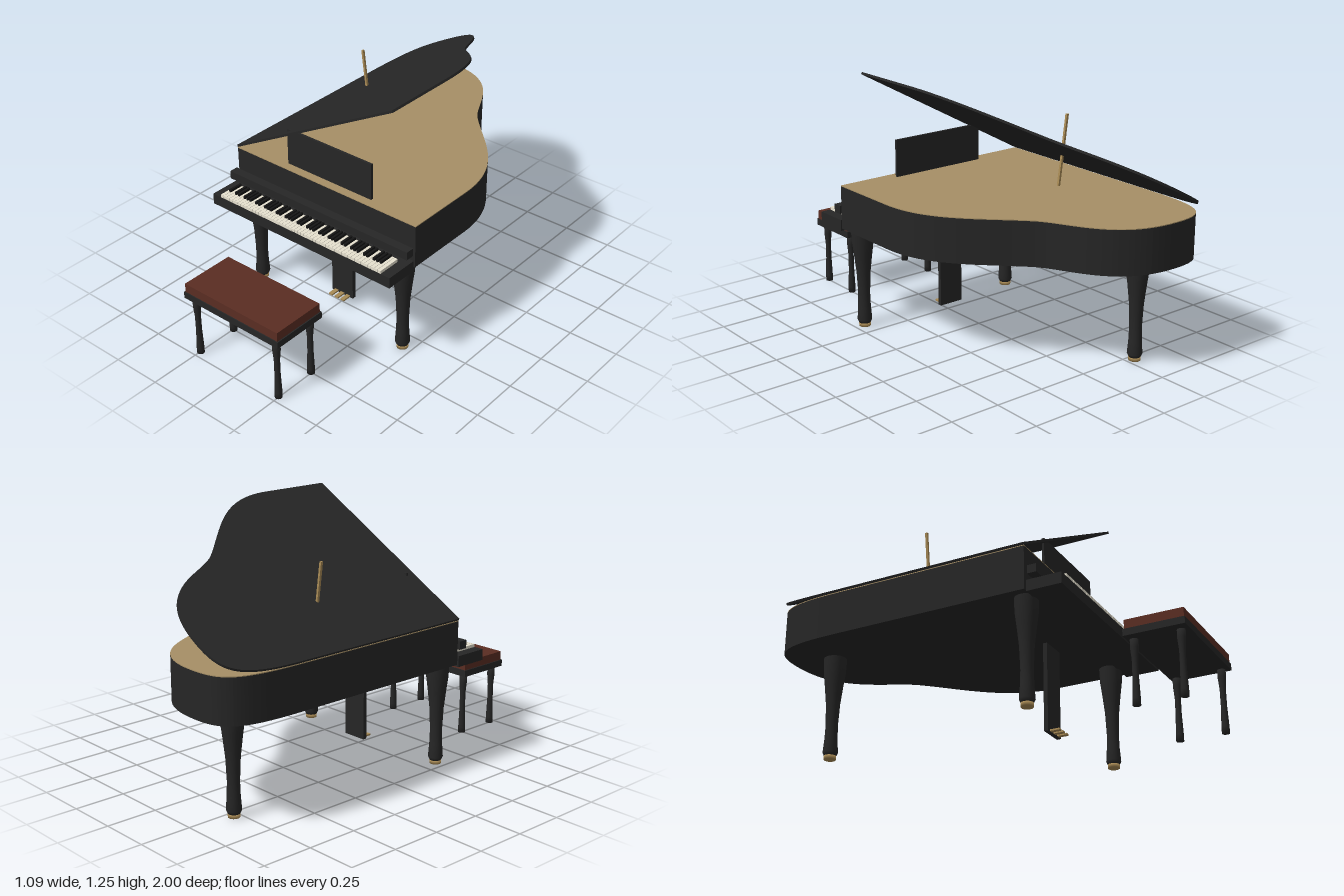
import * as THREE from 'three';

const material = (name, color, side = THREE.FrontSide) => {
  const m = new THREE.MeshStandardMaterial({ color, side });
  m.name = name;
  return m;
};

export function createModel() {
  const root = new THREE.Group();
  root.name = 'grandPianoWithBench';
  const black = material('black lacquer', 0x262626);
  const ebony = material('ebony keys', 0x151515);
  const ivory = material('ivory keys', 0xeee8d6);
  const wood = material('soundboard wood', 0xa68f66);
  const brass = material('brass', 0xa88a55);
  const leather = material('seat leather', 0x5a2d22);

  const add = (name, geometry, mat, parent = root) => {
    const mesh = new THREE.Mesh(geometry, mat);
    mesh.name = name;
    parent.add(mesh);
    return mesh;
  };
  // Box given by its min and max on each axis
  const box = (name, [x0, x1], [y0, y1], [z0, z1], mat, parent = root) => {
    const mesh = add(name, new THREE.BoxGeometry(x1 - x0, y1 - y0, z1 - z0), mat, parent);
    mesh.position.set((x0 + x1) / 2, (y0 + y1) / 2, (z0 + z1) / 2);
    return mesh;
  };
  const turned = (points, sides) =>
    new THREE.LatheGeometry(points.map(([r, y]) => new THREE.Vector2(r, y)), sides);

  // Curved plan outline, drawn with shape y = -z
  const outline = new THREE.Shape();
  outline.moveTo(-0.54, -0.37);
  outline.lineTo(0.54, -0.37);
  outline.lineTo(0.54, 0);
  outline.bezierCurveTo(0.54, 0.3, 0.32, 0.43, 0.17, 0.6);
  outline.bezierCurveTo(0.07, 0.72, 0.05, 1, -0.3, 1);
  outline.bezierCurveTo(-0.48, 1, -0.54, 0.95, -0.54, 0.62);
  outline.closePath();
  const slab = (depth) => {
    const g = new THREE.ExtrudeGeometry(outline, { depth, bevelEnabled: false, curveSegments: 28 });
    return g.rotateX(-Math.PI / 2);
  };

  // Case and soundboard
  add('case', slab(0.212), black).position.y = 0.51;
  add('soundboard', slab(0.004), wood).position.y = 0.722;

  // Raised lid, hinged along the straight right-hand side
  const lid = new THREE.Group();
  lid.name = 'lid';
  lid.position.set(-0.54, 0.727, 0);
  lid.rotation.z = THREE.MathUtils.degToRad(28.6);
  add('lidPanel', slab(0.011), black, lid).position.x = 0.54;
  root.add(lid);

  // Prop stick
  const prop = add('propStick', new THREE.BoxGeometry(0.011, 0.35, 0.012), brass);
  prop.position.set(-0.28, 0.896, -0.28);
  prop.rotation.z = 0.135;

  // Music desk, key bed and fallboard
  box('musicDesk', [-0.252, 0.252], [0.722, 0.91], [0.315, 0.327], black);
  box('keyBed', [-0.54, 0.54], [0.496, 0.55], [0.38, 0.55], black);
  box('fallboard', [-0.54, 0.54], [0.58, 0.62], [0.385, 0.43], black);

  // Keyboard: 52 white keys starting on A, black keys over the proper gaps
  const keyboard = new THREE.Group();
  keyboard.name = 'keyboard';
  root.add(keyboard);
  const pitch = 0.98 / 52;
  for (let i = 0; i < 52; i++) {
    const x = -0.49 + i * pitch;
    box('whiteKey', [x + 0.0008, x + pitch - 0.0008], [0.55, 0.565], [0.43, 0.549], ivory, keyboard);
    if (i < 51 && [0, 1, 3, 4, 5].includes((i + 5) % 7)) {
      const edge = x + pitch;
      box('blackKey', [edge - 0.0055, edge + 0.0055], [0.563, 0.578], [0.432, 0.505], ebony, keyboard);
    }
  }

  // Three turned legs on brass feet
  const legGeometry = turned([[0, 0.018], [0.028, 0.018], [0.036, 0.035], [0.031, 0.1], [0.029, 0.17],
    [0.034, 0.28], [0.044, 0.37], [0.053, 0.44], [0.056, 0.512]], 24);
  const footGeometry = turned([[0, 0], [0.028, 0], [0.029, 0.018], [0, 0.02]], 24);
  for (const [x, z] of [[-0.448, 0.335], [0.448, 0.335], [-0.29, -0.785]]) {
    const leg = new THREE.Group();
    leg.name = 'leg';
    leg.position.set(x, 0, z);
    add('legPost', legGeometry, black, leg);
    add('legFoot', footGeometry, brass, leg);
    root.add(leg);
  }

  // Pedal board and pedals
  box('pedalBoard', [-0.065, 0.065], [0.04, 0.472], [0.222, 0.242], black);
  for (const x of [-0.037, 0, 0.037])
    box('pedal', [x - 0.011, x + 0.011], [0.042, 0.05], [0.235, 0.29], brass);

  // Bench
  const bench = new THREE.Group();
  bench.name = 'bench';
  root.add(bench);
  box('benchSeat', [-0.283, 0.283], [0.345, 0.39], [0.72, 0.995], leather, bench);
  box('benchFrame', [-0.289, 0.289], [0.312, 0.345], [0.714, 1], black, bench);
  const benchLeg = turned([[0, 0], [0.018, 0], [0.018, 0.03], [0.014, 0.13], [0.014, 0.21],
    [0.019, 0.265], [0.019, 0.304], [0, 0.304]], 16);
  for (const x of [-0.247, 0.247])
    for (const z of [0.75, 0.966]) add('benchLeg', benchLeg, black, bench).position.set(x, 0, z);

  return root;
}
